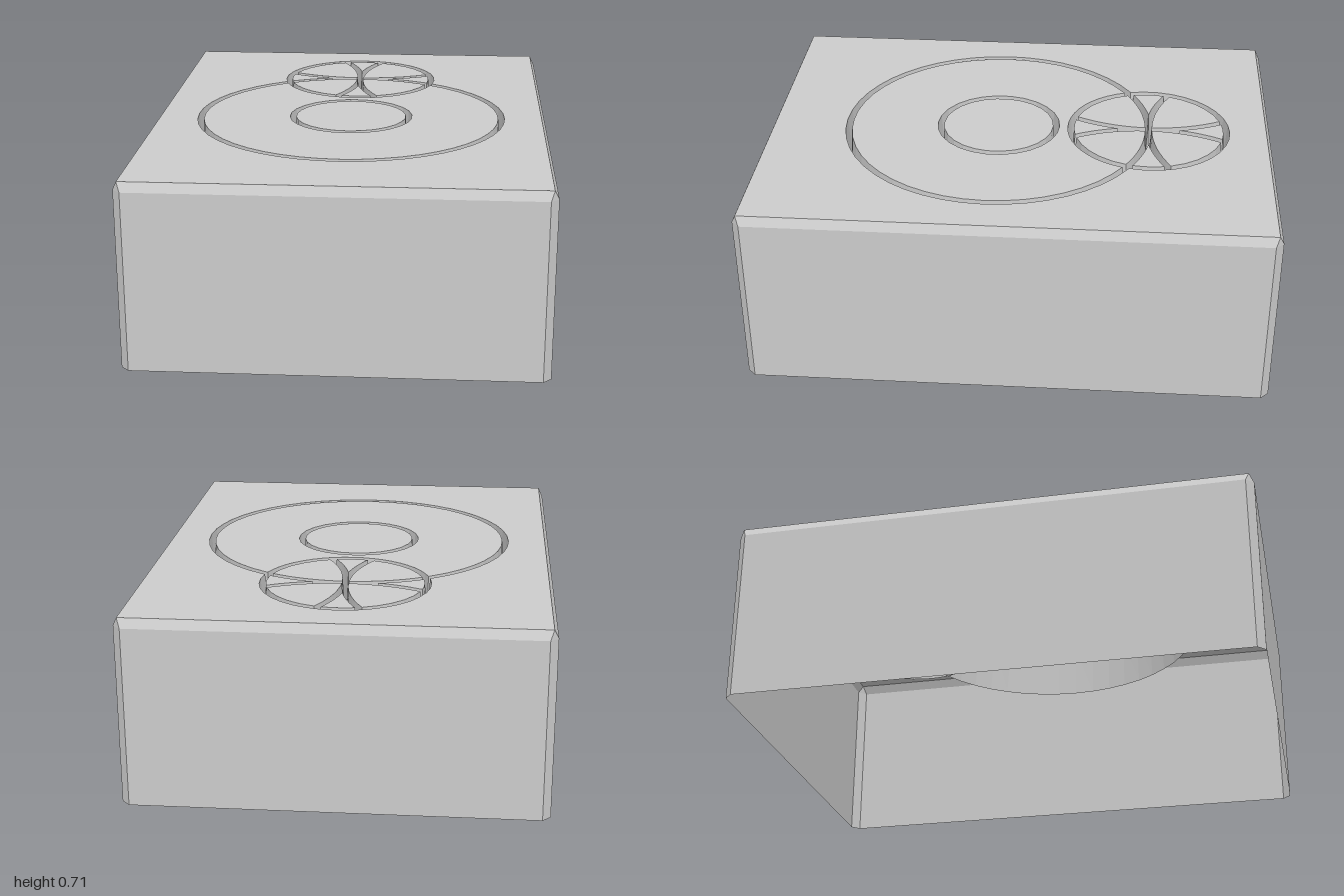
import * as THREE from 'three';

const HEIGHT = 0.715, DEPTH = 0.205;   // block height, groove depth
const HALF = 0.0125;                   // half the groove width at the top
const BIG = 0.6, FAN = 0.31, HUB = 0.232;
const FAN_Z = -0.515;                  // centre of the small divided circle
const { sin, cos, acos, atan2, PI } = Math;

const material = new THREE.MeshStandardMaterial({
  color: 0xcccccc, flatShading: true, side: THREE.DoubleSide,
});

// Samples a curve f(t) from a to b
const sample = (f, a, b, n) =>
  Array.from({ length: n + 1 }, (_, i) => f(a + ((b - a) * i) / n));
const circle = (r, n) =>
  sample((t) => [r * sin(t), BIG + r * cos(t)], 0, 2 * PI * (1 - 1 / n), n - 1);
const onFan = (r) => (t) => [r * sin(t), r * cos(t)];
// Angle at which a groove circle of radius R meets the fan circle of radius r
const meet = (R, r) => acos((BIG * BIG + R * R - r * r) / (2 * BIG * R));

// Loops are lists of [x, z]; counter-clockwise as seen from above
function area(loop) {
  return loop.reduce((s, [x, z], i) => {
    const [x2, z2] = loop[(i + 1) % loop.length];
    return s + x2 * z - x * z2;
  }, 0);
}

// Skins a stack of loops, listed from low to high
function loft(name, loops, heights) {
  const pos = [];
  for (let k = 0; k + 1 < loops.length; k++) {
    const n = loops[k].length;
    const at = (j, i) => {
      const [x, z] = loops[j][i % n];
      return new THREE.Vector3(x, heights[j], z);
    };
    for (let i = 0; i < n; i++) {
      const a = at(k, i), b = at(k, i + 1), c = at(k + 1, i + 1), d = at(k + 1, i);
      for (const tri of [[a, b, c], [a, c, d]]) {
        if (new THREE.Triangle(...tri).getArea() < 1e-9) continue;
        tri.forEach((p) => pos.push(p.x, p.y, p.z));
      }
    }
  }
  const geo = new THREE.BufferGeometry();
  geo.setAttribute('position', new THREE.Float32BufferAttribute(pos, 3));
  geo.computeVertexNormals();
  return named(name, geo);
}

function named(name, geo) {
  const mesh = new THREE.Mesh(geo, material);
  mesh.name = name;
  return mesh;
}

// Flat top face with holes
function cap(name, outline, holes = []) {
  const flat = (loop) => loop.map(([x, z]) => new THREE.Vector2(x, -z));
  const shape = new THREE.Shape(flat(outline));
  holes.forEach((h) => shape.holes.push(new THREE.Path(flat(h))));
  const geo = new THREE.ShapeGeometry(shape);
  geo.rotateX(-PI / 2).translate(0, HEIGHT, 0);
  return named(name, geo);
}

// Sloping groove wall: region(HALF) at the top, region(0) at the groove bottom
function wall(name, region, isHole = false) {
  let low = region(0), high = region(HALF);
  if ((area(high) < 0) !== isHole) {
    low = low.reverse();
    high = high.reverse();
  }
  return loft(name, [low, high], [HEIGHT - DEPTH, HEIGHT]);
}

// Moves a region from fan coordinates into place, after quarter turns
const place = (region, turns = 0) => (w) => region(w).map(([x, z]) => {
  for (let i = 0; i < turns; i++) [x, z] = [-z, x];
  return [x, z + FAN_Z];
});

// Big circle joined to one side of the fan circle
function bigLoop(R, r, outside) {
  const e = meet(R, r);
  const f = atan2(R * sin(e), BIG - R * cos(e));
  return [
    ...sample((t) => [R * sin(t), BIG - R * cos(t)], e, 2 * PI - e, 40),
    ...sample(onFan(r), -f, outside ? f - 2 * PI : f, 20).slice(1, -1),
  ];
}
const plateHole = place((w) => bigLoop(BIG + w, FAN + w, true));
const crescent = place((w) => bigLoop(BIG - w, FAN + w, false));
const hubOuter = place((w) => circle(HUB + w, 26));
const hubInner = place((w) => circle(HUB - w, 26));

// Narrow fan piece between two arcs that bend apart
function narrowPiece(w) {
  const R = BIG + w, r = FAN - w, e = meet(R, r);
  const s = Math.max(acos(BIG / R), 0.14);
  const side = sample((t) => [BIG - R * cos(t), R * sin(t)], s, e, 6);
  const f = atan2(...side[6]);
  return [
    ...side,
    ...sample(onFan(r), f, -f, 3).slice(1, -1),
    ...side.map(([x, z]) => [-x, z]).reverse(),
  ];
}

// Wide fan piece in a diagonal corner
function widePiece(w) {
  const R = BIG - w, r = FAN - w, e = meet(R, r);
  const s = PI / 4 - acos(BIG / (R * Math.SQRT2));
  const side = sample((t) => [BIG - R * cos(t), R * sin(t)], s, e, 8);
  const f = atan2(...side[8]);
  return [
    ...side,
    ...sample(onFan(r), f, PI / 2 - f, 5).slice(1, -1),
    ...side.map(([x, z]) => [z, x]).reverse().slice(0, -1),
  ];
}

// Octagonal loop: rectangle with cut corners
function rectLoop(hx, hz, cut) {
  return [
    [hx, hz - cut], [hx, cut - hz], [hx - cut, -hz], [cut - hx, -hz],
    [-hx, cut - hz], [-hx, hz - cut], [cut - hx, hz], [hx - cut, hz],
  ];
}

export function createModel() {
  const model = new THREE.Group();
  model.name = 'engravedBlock';

  // Open-bottomed shell with chamfered edges
  const base = rectLoop(0.777, 1, 0.03), rim = rectLoop(0.76, 0.983, 0);
  model.add(loft('shell', [base, base, rim], [0, 0.68, HEIGHT]));

  // Top plate around the engraving
  model.add(cap('topPlate', [rim[0], rim[1], rim[4], rim[5]], [plateHole(HALF)]));
  model.add(wall('topPlateGroove', plateHole, true));

  // Large disc with its ring groove and hub
  model.add(cap('largeDisc', crescent(HALF), [hubOuter(HALF)]));
  model.add(wall('largeDiscGroove', crescent));
  model.add(wall('hubOuterGroove', hubOuter, true));
  model.add(cap('hub', hubInner(HALF)));
  model.add(wall('hubInnerGroove', hubInner));

  // Small circle divided into eight pieces
  const fan = new THREE.Group();
  fan.name = 'dividedCircle';
  for (let k = 0; k < 4; k++) {
    for (const [name, piece] of [['narrowPiece', narrowPiece], ['widePiece', widePiece]]) {
      const region = place(piece, k);
      fan.add(cap(name, region(HALF)), wall(name + 'Groove', region));
    }
  }
  model.add(fan);
  return model;
}
